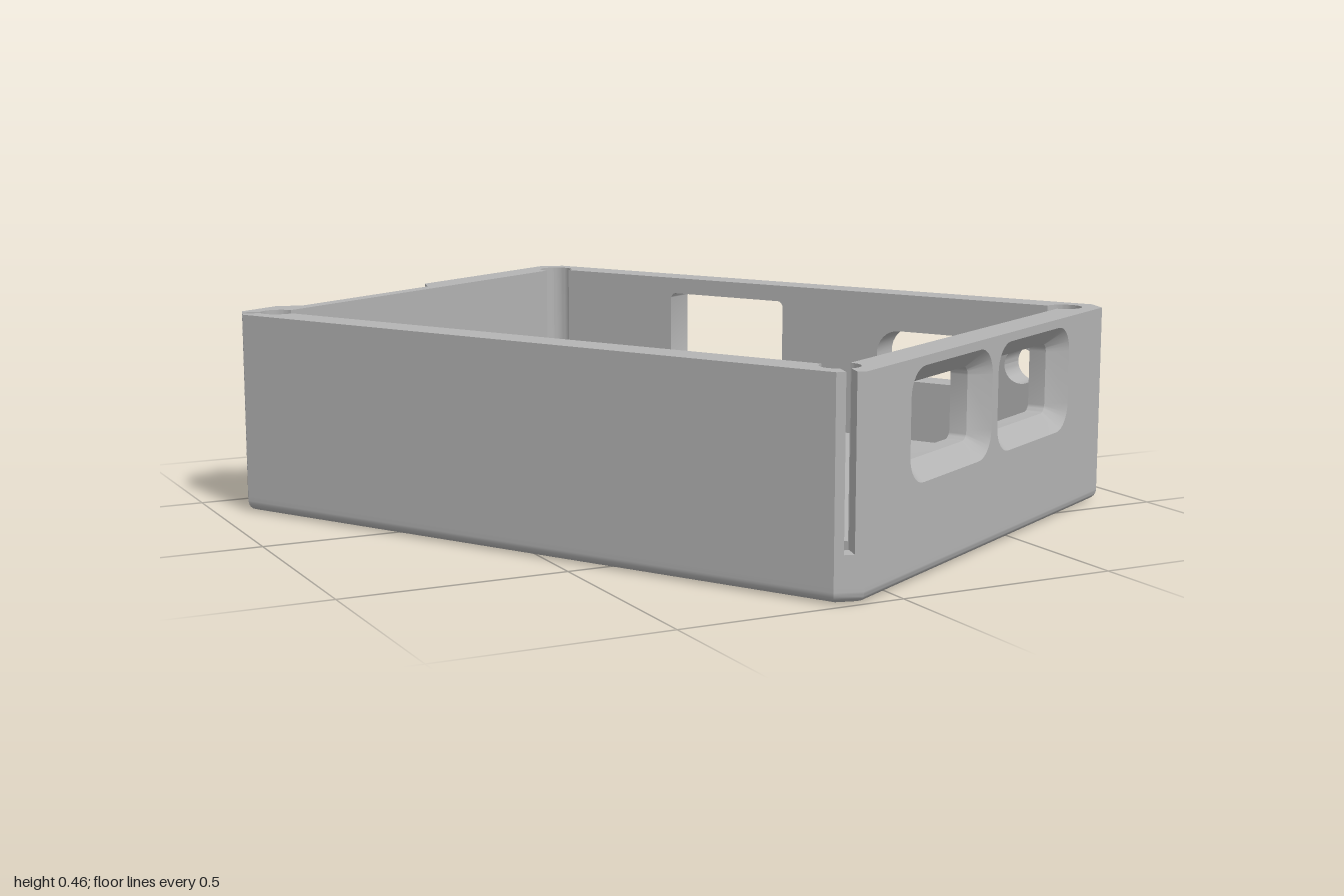
import * as THREE from 'three';
import { toCreasedNormals } from 'three/addons/utils/BufferGeometryUtils.js';

// Half width, half length, wall, corner chamfer, screw hole radius, heights
const A = 0.622, B = 0.82, M = 0.08, C = 0.044, R = 0.042;
const FLOOR = 0.1, H = 0.46, FILLET = 0.025;
const V = (x, y) => new THREE.Vector2(x, y);

// Counter-clockwise rounded rectangle points
function roundRect(cx, cy, w, h, r) {
  const pts = [];
  [[1, 1], [-1, 1], [-1, -1], [1, -1]].forEach(([sx, sy], q) => {
    for (let k = 0; k <= 8; k++) {
      const a = (q + k / 8) * Math.PI / 2;
      pts.push(V(cx + sx * (w / 2 - r) + r * Math.cos(a), cy + sy * (h / 2 - r) + r * Math.sin(a)));
    }
  });
  return pts;
}

function extrude(pts, depth, holes = [], steps = 1) {
  const shape = new THREE.Shape(pts);
  shape.holes = holes.map((h) => new THREE.Path(h));
  return new THREE.ExtrudeGeometry(shape, { depth, steps, bevelEnabled: false });
}

// Move every point of a closed loop inward by d
function inset(pts, d) {
  return pts.map((p, i) => {
    const a = p.clone().sub(pts[(i + pts.length - 1) % pts.length]).normalize();
    const b = pts[(i + 1) % pts.length].clone().sub(p).normalize();
    const n = V(-a.y - b.y, a.x + b.x);
    return p.clone().addScaledVector(n, d / (1 + a.dot(b)));
  });
}

// Sloping band between an inner loop at z = 0 and an outer loop at z = d
function bevelBand(inner, outer, d) {
  const pos = [], n = inner.length;
  for (let i = 0; i < n; i++) {
    const j = (i + 1) % n;
    const a = [inner[i].x, inner[i].y, 0], b = [outer[i].x, outer[i].y, d];
    const c = [inner[j].x, inner[j].y, 0], e = [outer[j].x, outer[j].y, d];
    pos.push(...a, ...b, ...c, ...b, ...e, ...c);
  }
  const g = new THREE.BufferGeometry();
  g.setAttribute('position', new THREE.Float32BufferAttribute(pos, 3));
  return g;
}

export function createModel() {
  const model = new THREE.Group();
  model.name = 'enclosure';
  const body = new THREE.Group();
  body.name = 'caseBody';
  body.rotation.y = Math.PI / 6;
  model.add(body);
  const grey = new THREE.MeshStandardMaterial({ color: 0xb4b4b4 });
  grey.name = 'grey plastic';

  const add = (name, geo, x = 0, y = 0, z = 0) => {
    const mesh = new THREE.Mesh(toCreasedNormals(geo, 0.6), grey);
    mesh.name = name;
    mesh.position.set(x, y, z);
    body.add(mesh);
    return mesh;
  };
  const upright = (geo) => geo.rotateX(-Math.PI / 2);

  // Plan outline, with a shallow recess in the back
  const recess = [V(0.083, B), V(0.04, B - C), V(-0.419, B - C), V(-0.466, B)];
  const outline = [
    V(A, C - B), V(A, B - C), V(A - C, B), ...recess, V(C - A, B),
    V(-A, B - C), V(-A, C - B), V(C - A, -B), V(A - C, -B),
  ];

  // Floor with four screw holes and a rounded lower edge
  const holes = [];
  for (const sx of [-1, 1]) for (const sy of [-1, 1]) {
    holes.push(roundRect(sx * (A - M), sy * (B - M), 2 * R, 2 * R, R - 0.0005));
  }
  const floor = extrude(outline, FLOOR, holes, 20);
  const pos = floor.attributes.position;
  for (let i = 0; i < pos.count; i++) {
    const z = pos.getZ(i);
    if (z >= FILLET) continue;
    const p = V(pos.getX(i), pos.getY(i));
    const k = outline.findIndex((o) => o.distanceTo(p) < 1e-4);
    if (k < 0) continue;
    const q = inset(outline, FILLET - Math.sqrt(FILLET ** 2 - (FILLET - z) ** 2))[k];
    pos.setXY(i, q.x, q.y);
  }
  add('floor', upright(floor));

  // Corner posts around the screw holes; the left pair is slotted
  for (const sx of [-1, 1]) for (const sy of [-1, 1]) for (const swap of [false, true]) {
    const w = sx < 0 ? 0.011 : 0;
    const mid = M - C / 2, o = w * Math.SQRT1_2;
    const half = [V(0, -R), V(M, -R), V(M, M - C), V(mid + o, mid - o)];
    const a0 = Math.PI / 4 - Math.asin(w / R);
    for (let k = 0; k < 16; k++) {
      const a = a0 + (-Math.PI / 2 - a0) * k / 16;
      half.push(V(R * Math.cos(a), R * Math.sin(a)));
    }
    const pts = half.map((p) => {
      const [u, v] = swap ? [p.y, p.x] : [p.x, p.y];
      return V(sx * (A - M + u), sy * (B - M + v));
    });
    add('cornerPost', upright(extrude(pts, H - FLOOR)), 0, FLOOR, 0);
  }

  // Back and left walls
  const ex = A - M - R, ez = B - M - R;
  const back = [V(ex, B - M), V(ex, B), ...recess, V(-ex, B), V(-ex, B - M)];
  add('backWall', upright(extrude(back, H - FLOOR)), 0, FLOOR, 0);
  const panel = (e) => [V(-e, FLOOR), V(e, FLOOR), V(e, H), V(-e, H)];
  add('leftWall', extrude(panel(ez), M), -A, 0, 0).rotation.y = Math.PI / 2;

  // Right wall with round, long and rectangular ports
  const ports = [
    roundRect(-0.634, 0.31, 0.086, 0.086, 0.0425),
    roundRect(-0.399, 0.308, 0.308, 0.122, 0.06),
    roundRect(0.197, 0.33, 0.339, 0.18, 0.015),
  ];
  add('rightWall', extrude(panel(ez), M, ports), A - M, 0, 0).rotation.y = Math.PI / 2;

  // Front wall: two windows with sloping surrounds
  const windows = [-0.203, 0.203];
  const inner = windows.map((x) => roundRect(x, 0.32, 0.297, 0.16, 0.02));
  const outer = windows.map((x) => roundRect(x, 0.32, 0.377, 0.24, 0.06));
  add('frontWallInner', extrude(panel(ex), M / 2, inner), 0, 0, B - M);
  add('frontWallOuter', extrude(panel(ex), M / 2, outer), 0, 0, B - M / 2);
  windows.forEach((x, i) => add('windowBevel', bevelBand(inner[i], outer[i], M / 2), 0, 0, B - M / 2));

  return model;
}
